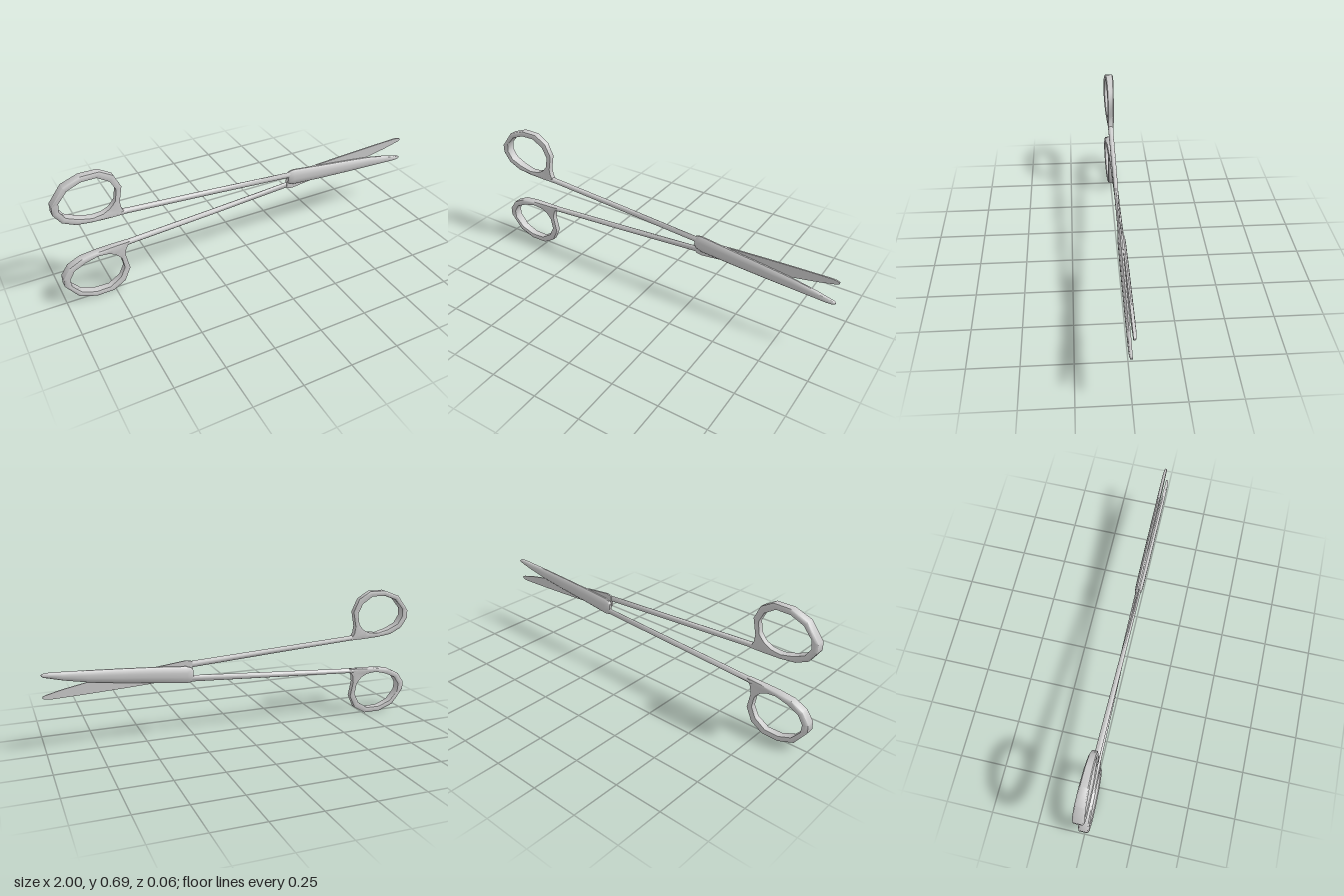
import * as THREE from 'three';
import { toCreasedNormals } from 'three/addons/utils/BufferGeometryUtils.js';

const MID = 0.3475; // height of the symmetry axis

// Skin a row of equal-sized cross-sections; closed joins last to first, otherwise ends are capped
function loft(sections, closed, crease) {
  const n = sections[0].length, m = sections.length;
  const pos = sections.flat(2), idx = [];
  for (let i = 0; i < (closed ? m : m - 1); i++) {
    for (let j = 0; j < n; j++) {
      const a = i * n + j, b = i * n + (j + 1) % n;
      const c = ((i + 1) % m) * n + j, d = ((i + 1) % m) * n + (j + 1) % n;
      idx.push(a, b, c, b, d, c);
    }
  }
  if (!closed) {
    const e = (m - 1) * n;
    for (let j = 1; j < n - 1; j++) idx.push(0, j + 1, j, e, e + j, e + j + 1);
  }
  // Turn the faces outward if the enclosed volume comes out negative
  const v = k => new THREE.Vector3().fromArray(pos, k * 3);
  let volume = 0;
  for (let i = 0; i < idx.length; i += 3) volume += v(idx[i]).dot(v(idx[i + 1]).cross(v(idx[i + 2])));
  if (volume < 0) idx.reverse();
  const geo = new THREE.BufferGeometry();
  geo.setAttribute('position', new THREE.Float32BufferAttribute(pos, 3));
  geo.setIndex(idx);
  return toCreasedNormals(geo, crease);
}

// Finger ring: outer x, y and inner x, y around the loop, with a solid corner where the shank joins
function ringGeometry() {
  const loop = [
    [-0.665, 0.588, -0.692, 0.577], [-0.697, 0.657, -0.718, 0.630],
    [-0.761, 0.695, -0.777, 0.668], [-0.852, 0.695, -0.852, 0.668],
    [-0.937, 0.662, -0.921, 0.641], [-1.000, 0.577, -0.966, 0.588],
    [-1.000, 0.534, -0.970, 0.545], [-0.964, 0.481, -0.943, 0.502],
    [-0.900, 0.449, -0.884, 0.475], [-0.820, 0.438, -0.820, 0.459],
    [-0.729, 0.433, -0.767, 0.465], [-0.655, 0.431, -0.735, 0.481],
    [-0.676, 0.470, -0.718, 0.497], [-0.681, 0.507, -0.702, 0.518],
  ];
  const profile = [[1, -0.75], [1, 0.75], [0.55, 1], [0, 0.8], [0, -0.8], [0.55, -1]];
  return loft(loop.map(([ox, oy, ix, iy]) => {
    const half = THREE.MathUtils.mapLinear(ox, -1, -0.66, 0.029, 0.018);
    return profile.map(([t, z]) => [ix + (ox - ix) * t, iy + (oy - iy) * t - MID, z * half]);
  }), true, 1.1);
}

// Shank: rounded bar given as x, low y, high y, back z, front z
function shankGeometry() {
  const stations = [
    [-0.80, 0.439, 0.453, -0.015, 0.015], [-0.70, 0.430, 0.458, -0.017, 0.018],
    [-0.64, 0.426, 0.453, -0.013, 0.017], [-0.20, 0.397, 0.427, -0.008, 0.017],
    [0.25, 0.366, 0.400, 0.001, 0.017], [0.32, 0.362, 0.394, 0.002, 0.015],
  ];
  return loft(stations.map(([x, y0, y1, z0, z1]) => Array.from({ length: 10 }, (_, k) => {
    const a = (k / 10) * Math.PI * 2;
    return [x, (y0 + y1) / 2 - MID + Math.cos(a) * (y1 - y0) / 2, (z0 + z1) / 2 + Math.sin(a) * (z1 - z0) / 2];
  })), false, 1);
}

// Blade: flat inner face, domed outer face; given as x, low y, high y, thickness
function bladeGeometry() {
  const stations = [
    [0.250, 0.338, 0.396, 0.014], [0.258, 0.328, 0.402, 0.018], [0.285, 0.318, 0.406, 0.020],
    [0.45, 0.305, 0.386, 0.020], [0.62, 0.295, 0.367, 0.019], [0.78, 0.287, 0.347, 0.018],
    [0.90, 0.282, 0.324, 0.017], [0.96, 0.280, 0.309, 0.016], [0.988, 0.282, 0.302, 0.014],
    [1.000, 0.287, 0.296, 0.011],
  ];
  const profile = [[0, 0], [1, 0], [1, 0.4], [0.88, 0.8], [0.62, 1], [0.38, 1], [0.12, 0.8], [0, 0.4]];
  return loft(stations.map(([x, y0, y1, t]) =>
    profile.map(([u, w]) => [x, y0 + (y1 - y0) * u - MID, 0.0005 + w * t])), false, 0.75);
}

export function createModel() {
  const model = new THREE.Group();
  model.name = 'scissors';
  const steel = new THREE.MeshStandardMaterial({ color: 0xcccccc });
  const parts = { fingerRing: ringGeometry(), shank: shankGeometry(), blade: bladeGeometry() };

  // The second half is the first one turned over about the long axis
  ['frontHalf', 'backHalf'].forEach((name, i) => {
    const half = new THREE.Group();
    half.name = name;
    for (const [part, geo] of Object.entries(parts)) {
      const mesh = new THREE.Mesh(geo, steel);
      mesh.name = part;
      half.add(mesh);
    }
    half.rotation.x = i * Math.PI;
    half.position.y = MID;
    model.add(half);
  });
  return model;
}
